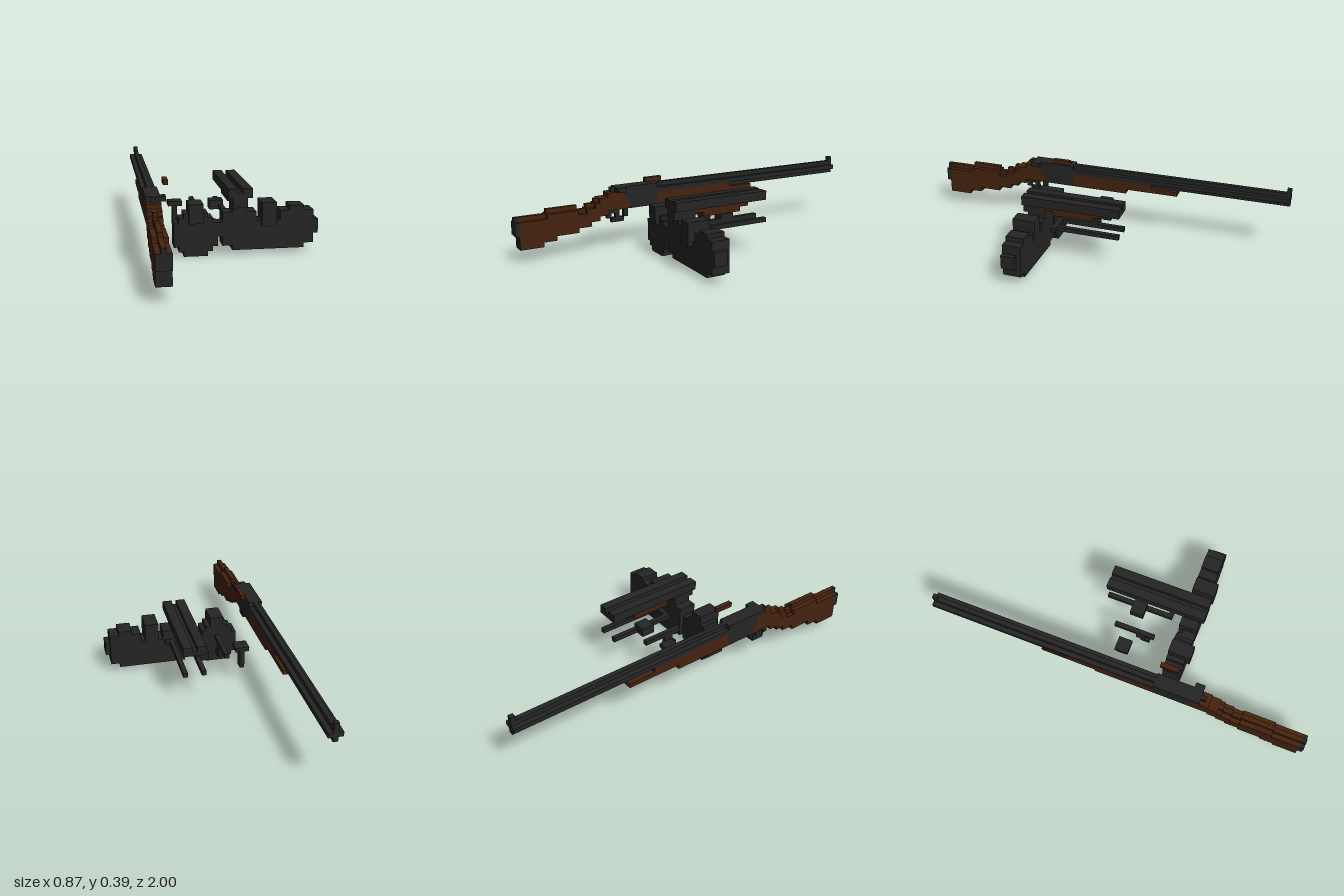
import * as THREE from 'three';

// Block grid: i across (36), j up (16), k from muzzle to butt (83)
const U = 2 / 83;

export function createModel() {
  const root = new THREE.Group();
  root.name = 'rifleWithAttachments';
  const metal = new THREE.MeshStandardMaterial({ color: 0x252525 });
  metal.name = 'dark metal';
  const wood = new THREE.MeshStandardMaterial({ color: 0x46230f });
  wood.name = 'brown wood';

  const part = (name) => {
    const g = new THREE.Group();
    g.name = name;
    root.add(g);
    return g;
  };
  // Box between grid corners
  const box = (g, name, mat, i0, i1, j0, j1, k0, k1) => {
    const m = new THREE.Mesh(
      new THREE.BoxGeometry((i1 - i0) * U, (j1 - j0) * U, (k1 - k0) * U), mat);
    m.position.set(((i0 + i1) / 2 - 18) * U, ((j0 + j1) / 2) * U, ((k0 + k1) / 2 - 41.5) * U);
    m.name = name;
    g.add(m);
  };

  // Rifle barrel with a plus-shaped section, and front sight
  const rifle = part('rifle');
  box(rifle, 'barrelCore', metal, 1, 2, 11, 14, 0, 50);
  for (const i of [0, 2]) box(rifle, 'barrelSide', metal, i, i + 1, 12, 13, 0, 50);
  box(rifle, 'frontSight', metal, 1, 2, 14, 15, 0, 1);

  // Fore-end, stepped towards the muzzle
  box(rifle, 'foreEndLower', wood, 0, 3, 9, 10, 37, 50);
  box(rifle, 'foreEndMiddle', wood, 0, 3, 10, 11, 25, 50);
  for (const i of [0, 2]) box(rifle, 'foreEndSide', wood, i, i + 1, 11, 12, 31, 50);

  // Receiver and bolt
  box(rifle, 'receiver', metal, 0, 3, 11, 14, 50, 58);
  box(rifle, 'receiverBase', metal, 0, 3, 9, 11, 50, 57);
  box(rifle, 'receiverTang', metal, 0, 3, 13, 14, 58, 60);
  box(rifle, 'boltEnd', metal, 1, 2, 13, 14, 60, 61);
  box(rifle, 'boltHandle', metal, 3, 4, 13, 14, 58, 60);

  // Stock: slices of [k start, k end, bottom, top]; rear slices have a narrow ridge
  const slices = [
    [77, 82, 3, 10], [76, 77, 4, 10], [74, 76, 4, 11], [69, 74, 5, 11], [67, 69, 6, 10],
    [66, 67, 6, 11], [65, 66, 7, 11], [64, 65, 7, 12], [62, 64, 8, 12], [58, 62, 9, 13], [57, 58, 9, 11],
  ];
  for (const [k0, k1, j0, j1] of slices) {
    const ridge = k0 >= 64 ? 1 : 0;
    box(rifle, 'stock', wood, 0, 3, j0, j1 - ridge, k0, k1);
    if (ridge) box(rifle, 'stockRidge', wood, 1, 2, j1 - 1, j1, k0, k1);
  }
  box(rifle, 'buttPlate', metal, 0, 3, 6, 9, 82, 83);
  box(rifle, 'buttPlateTop', metal, 1, 2, 9, 10, 82, 83);
  box(rifle, 'buttPlateToe', metal, 0, 3, 3, 6, 82, 82.2);

  // Trigger and guard
  box(rifle, 'guardBottom', metal, 1, 2, 6, 7, 58, 61);
  box(rifle, 'guardFront', metal, 1, 2, 7, 9, 57, 58);
  box(rifle, 'guardRear', metal, 1, 2, 7, 8, 61, 62);
  box(rifle, 'guardRearPost', metal, 1, 2, 8, 9, 60, 62);
  box(rifle, 'trigger', metal, 1, 2, 7, 9, 59, 60);

  // Loose wooden block
  box(part('woodBlock'), 'block', wood, 4, 5, 15, 16, 50, 54);

  // Round drum: rows of [bottom, top, inset]
  const drum = part('drumMagazine');
  for (const [j0, j1, s] of [[0, 1, 2], [1, 2, 1], [2, 7, 0], [7, 8, 1], [8, 9, 2]])
    box(drum, 'drumRow', metal, 6 + s, 15 - s, j0, j1, 50, 54);
  box(drum, 'drumNeck', metal, 9, 12, 7, 11, 50, 55);

  // Double drum, mirrored about i = 25.5
  const twin = part('doubleDrumMagazine');
  box(twin, 'base', metal, 18, 33, 1, 2, 50, 54);
  box(twin, 'body', metal, 16, 35, 2, 7, 50, 54);
  box(twin, 'outerBand', metal, 15, 36, 4, 7, 51, 54);
  for (const i of [16, 28]) {
    box(twin, 'lobe', metal, i, i + 7, 7, 9, 50, 54);
    box(twin, 'lobeTop', metal, i + 2, i + 5, 9, 10, 50, 54);
  }
  box(twin, 'neck', metal, 24, 27, 6, 11, 50, 55);

  // Double barrel with wooden fore-end
  const pair = part('doubleBarrel');
  for (const i of [17, 20]) box(pair, 'barrel', metal, i, i + 2, 12, 14, 33, 55);
  box(pair, 'barrelWeb', metal, 19, 20, 12, 13, 33, 55);
  box(pair, 'foreEnd', wood, 18, 21, 11, 12, 37, 50);
  box(pair, 'foreEndBelly', wood, 18, 21, 10, 11, 39, 48);
  box(pair, 'breech', metal, 18, 21, 10, 12, 50, 55);

  // Folded bipod
  const bipod = part('bipod');
  for (const i of [17, 21]) box(bipod, 'leg', metal, i, i + 1, 7, 8, 33, 47);
  box(bipod, 'hinge', metal, 17, 22, 7, 8, 47, 48);
  box(bipod, 'hingeKnob', metal, 22, 23, 7, 8, 47, 48);

  // Plate on a vertical grip
  const grip = part('verticalGrip');
  box(grip, 'gripPlate', metal, 6, 9, 8, 9, 39, 42);
  box(grip, 'gripStem', metal, 7, 8, 4, 8, 39, 41);

  // Narrow rail with a small hanging block
  const rail = part('rail');
  box(rail, 'railBar', metal, 11, 12, 8, 9, 37, 46);
  box(rail, 'railBlock', metal, 11, 12, 6, 8, 42, 44);
  box(rail, 'railFoot', metal, 11, 12, 5, 6, 43, 45);

  // Small side mount
  const mount = part('sideMount');
  box(mount, 'mountPlate', metal, 15, 18, 8, 9, 39, 42);
  box(mount, 'mountBlock', metal, 15, 17, 7, 8, 39, 42);

  return root;
}
